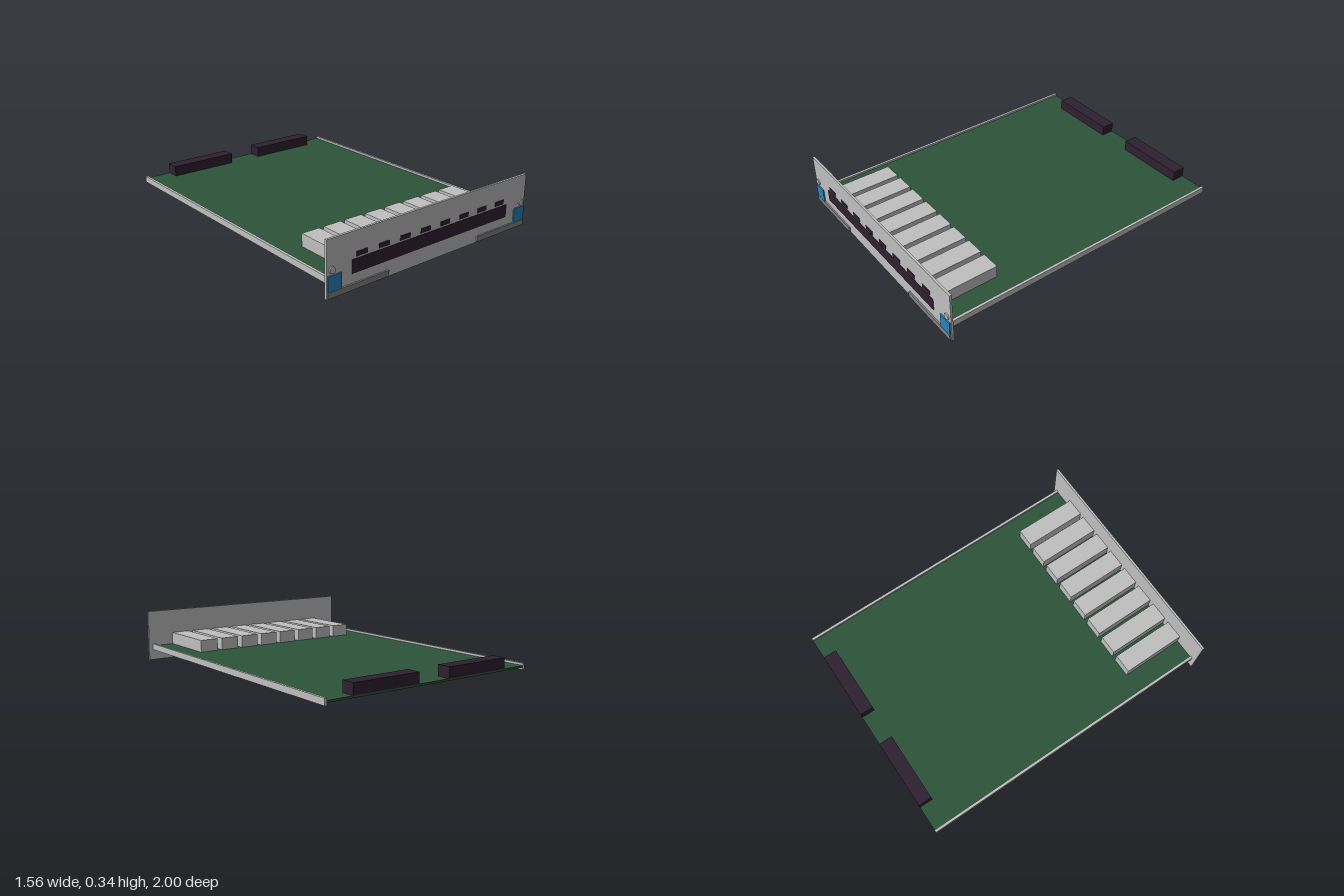
import * as THREE from 'three';

const material = (name, color) => {
  const m = new THREE.MeshStandardMaterial({ color });
  m.name = name;
  return m;
};

export function createModel() {
  const model = new THREE.Group();
  model.name = 'circuitCard';

  const metal = material('light metal', 0xc0c0c0);
  const grey = material('dark grey', 0x848484);
  const green = material('board green', 0x2c553a);
  const black = material('connector black', 0x2f2030);
  const blue = material('latch blue', 0x2a82bb);

  // Box given by its lower and upper corners
  const box = (name, mat, [x0, y0, z0], [x1, y1, z1]) => {
    const mesh = new THREE.Mesh(new THREE.BoxGeometry(x1 - x0, y1 - y0, z1 - z0), mat);
    mesh.position.set((x0 + x1) / 2, (y0 + y1) / 2, (z0 + z1) / 2);
    mesh.name = name;
    model.add(mesh);
    return mesh;
  };

  // Face plate and circuit board
  const face = 0.99;
  box('frontPanel', metal, [-0.782, 0, 0.976], [0.782, 0.335, face]);
  box('board', green, [-0.742, 0.084, -1], [0.742, 0.096, 0.976]);

  // Mirrored parts: guide rails, rear connectors, handles, latches, screws
  for (const s of [-1, 1]) {
    const pair = (name, mat, [x0, x1], [y0, y1], [z0, z1]) =>
      box(name, mat, [Math.min(s * x0, s * x1), y0, z0], [Math.max(s * x0, s * x1), y1, z1]);
    pair('sideRail', metal, [0.738, 0.755], [0.07, 0.11], [-1, 0.976]);
    pair('rearConnector', black, [0.113, 0.572], [0.096, 0.164], [-1, -0.911]);
    pair('handle', grey, [0.355, 0.775], [0.006, 0.041], [face, 1]);
    pair('latch', blue, [0.685, 0.775], [0.041, 0.131], [face, 0.998]);

    const screw = new THREE.Mesh(new THREE.CylinderGeometry(0.02, 0.02, 0.008, 24), metal);
    screw.rotation.x = Math.PI / 2;
    screw.position.set(s * 0.746, 0.16, face + 0.004);
    screw.name = 'screw';
    model.add(screw);
  }

  // Long port opening on the face plate
  box('portStrip', black, [-0.612, 0.096, face], [0.612, 0.177, face + 0.003]);

  // Eight port modules, each with an indicator window above
  for (let i = 0; i < 8; i++) {
    const x = (i - 3.5) * 0.1555;
    box('portModule', metal, [x - 0.062, 0.096, 0.558], [x + 0.062, 0.175, 0.976]);
    box('indicator', black, [x - 0.038, 0.187, face], [x + 0.038, 0.215, face + 0.003]);
  }

  return model;
}
